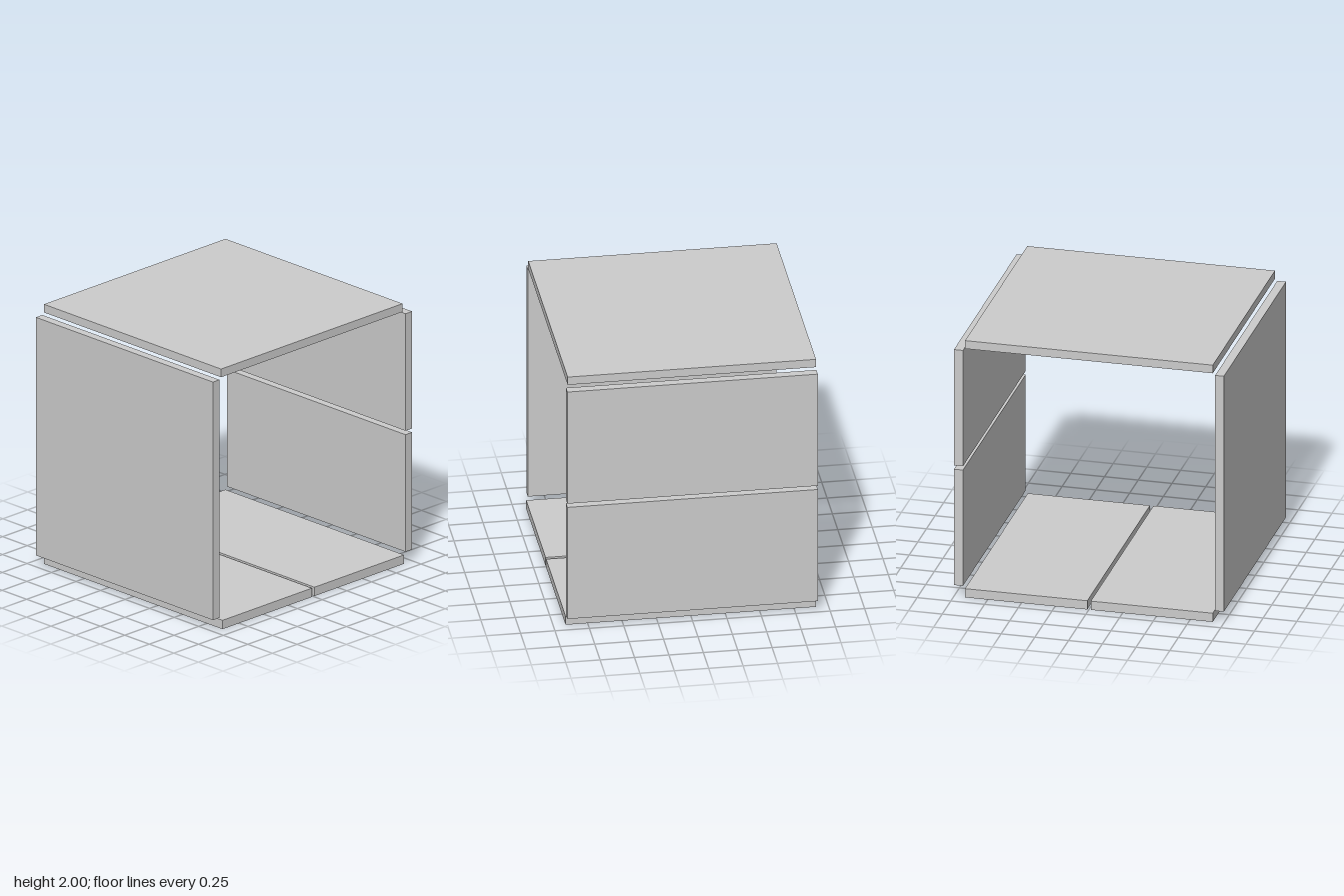
import * as THREE from 'three';

export function createModel() {
  const group = new THREE.Group();
  const material = new THREE.MeshStandardMaterial({ color: 0xcccccc, flatShading: true });
  const back = -0.91;

  // Flat board given by its x and y extents, running from the back to zFront
  function board(name, [x0, x1], [y0, y1], zFront) {
    const mesh = new THREE.Mesh(new THREE.BoxGeometry(x1 - x0, y1 - y0, zFront - back), material);
    mesh.name = name;
    mesh.position.set((x0 + x1) / 2, (y0 + y1) / 2, (zFront + back) / 2);
    group.add(mesh);
  }

  // Full-size boards, slightly shorter in depth
  board('topPanel', [-0.918, 0.918], [1.937, 2], 0.895);
  board('rightPanel', [-1, -0.935], [0.088, 1.922], 0.895);

  // Side split into two boards
  board('leftLowerPanel', [0.933, 1], [0.088, 0.99], 0.91);
  board('leftUpperPanel', [0.933, 1], [1.02, 1.922], 0.91);

  // Floor split into two boards
  board('floorRightPanel', [-0.918, -0.014], [0, 0.068], 0.91);
  board('floorLeftPanel', [0.012, 0.918], [0, 0.068], 0.91);

  return group;
}
